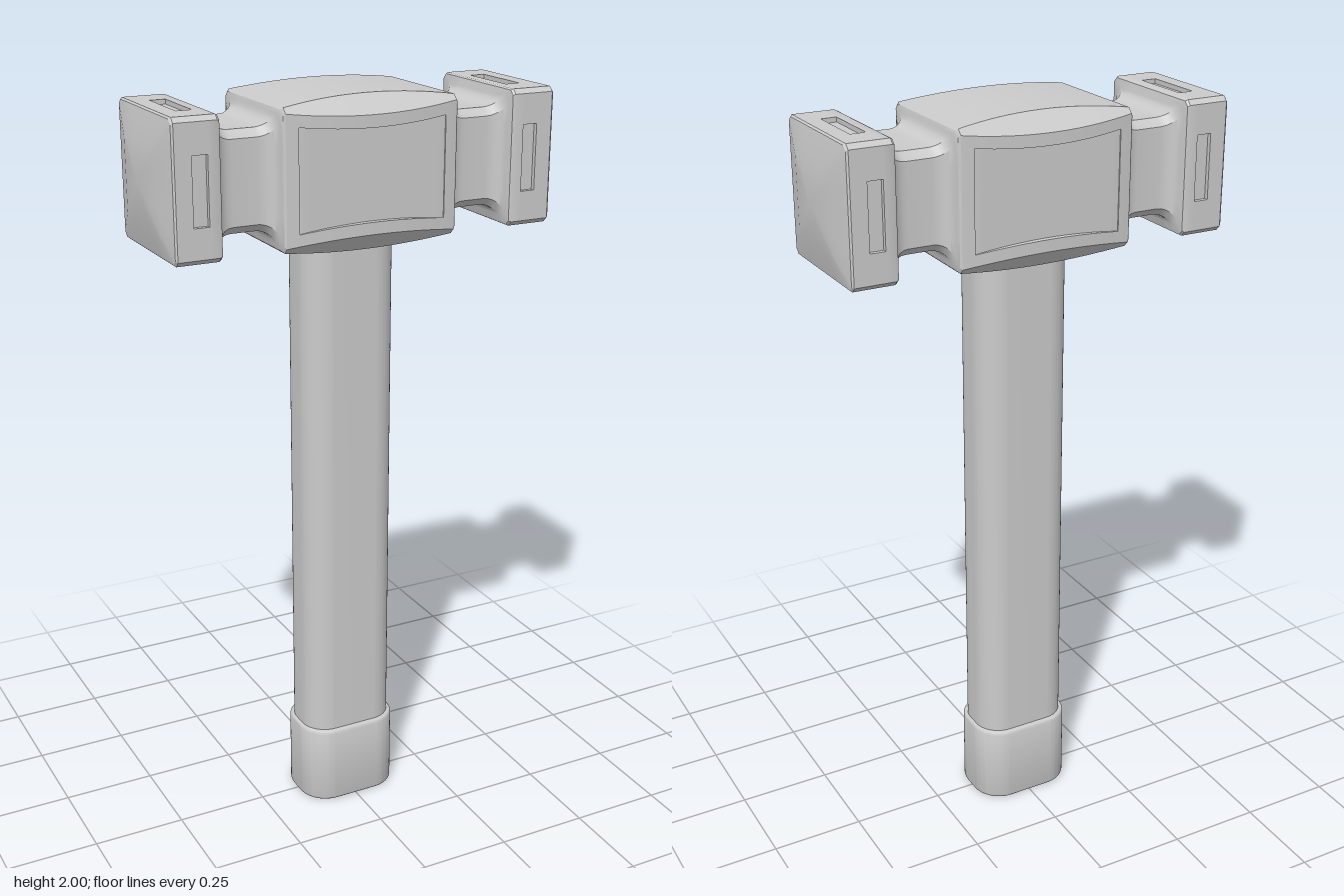
import * as THREE from 'three';
import { toCreasedNormals } from 'three/addons/utils/BufferGeometryUtils.js';

const material = new THREE.MeshStandardMaterial({ color: 0xcccccc });

// One chamfered-square section of the head, with an optional recess on each side.
function section({ x, h, c = 0.02, a = 0.085, dy = 0, dz = 0 }) {
  const points = [];
  const e = h - c;
  const m = Math.min(a, e * 0.95);
  for (let k = 0; k < 4; k++) {
    const d = k % 2 ? dz : dy;
    const side = [[h, -e], [h, -m], [h - d, -m], [h - d, m], [h, m], [h, e]];
    for (const [u, v] of side) {
      const [y, z] = [[u, v], [-v, u], [-u, -v], [v, -u]][k];
      points.push(new THREE.Vector3(x, y, z));
    }
  }
  return points;
}

// Skin a row of sections running along +x and close both ends with low points.
function loft(sections, tip) {
  const pos = [];
  const tri = (a, b, c) => {
    const n = b.clone().sub(a).cross(c.clone().sub(a));
    if (n.length() > 1e-9) for (const p of [a, b, c]) pos.push(p.x, p.y, p.z);
  };
  const n = sections[0].length;
  const first = new THREE.Vector3(-tip, 0, 0);
  const last = new THREE.Vector3(tip, 0, 0);
  for (let i = 0; i < n; i++) {
    const j = (i + 1) % n;
    for (let s = 0; s < sections.length - 1; s++) {
      const p = sections[s], q = sections[s + 1];
      tri(p[i], p[j], q[j]);
      tri(p[i], q[j], q[i]);
    }
    tri(first, sections[0][j], sections[0][i]);
    tri(last, sections[sections.length - 1][i], sections[sections.length - 1][j]);
  }
  const geo = new THREE.BufferGeometry();
  geo.setAttribute('position', new THREE.Float32BufferAttribute(pos, 3));
  return toCreasedNormals(geo, 0.5);
}

function headGeometry() {
  const half = [];
  // Bulging centre block with a flat panel sunk into front and back
  const centre = (x, sunk) => {
    const t = (x / 0.235) ** 2;
    const h = 0.174 + 0.018 * (1 - t);
    half.push({ x, h, c: 0.012 + 0.034 * (1 - t), a: 0.115 + 0.018 * t, dz: sunk ? h - 0.176 : 0 });
  };
  for (let i = 0; i <= 8; i++) centre(i * 0.025, true);
  for (const x of [0.2, 0.218, 0.232]) centre(x, false);
  half.push({ x: 0.237, h: 0.17, c: 0.014 });
  // Waist with a fillet at either end
  for (let i = 0; i <= 6; i++) {
    const t = (1 - i / 6) * Math.PI / 2;
    half.push({ x: 0.285 - 0.045 * Math.sin(t), h: 0.16 - 0.035 * Math.cos(t) });
  }
  for (let i = 0; i <= 6; i++) {
    const t = (i / 6) * Math.PI / 2;
    half.push({ x: 0.35 + 0.045 * Math.sin(t), h: 0.16 - 0.035 * Math.cos(t) });
  }
  // Striking block with a slot on each of its four sides and a crowned face
  const h = 0.174, c = 0.012, d = 0.012;
  half.push({ x: 0.398, h: 0.171, c }, { x: 0.404, h, c }, { x: 0.43, h, c });
  half.push({ x: 0.43, h, c, dy: d, dz: d }, { x: 0.47, h, c, dy: d, dz: d });
  half.push({ x: 0.47, h, c }, { x: 0.513, h, c }, { x: 0.518, h: 0.17, c });
  half.push({ x: 0.534, h: 0.1, c: 0.007, a: 0.05 });

  const mirrored = half.slice(1).reverse().map((s) => ({ ...s, x: -s.x }));
  return loft([...mirrored, ...half].map(section), 0.543);
}

// Upright bar with a rounded-rectangle plan.
function bar(w, d, r, y0, y1, bevel) {
  const x = w - bevel, z = d - bevel, k = r - bevel;
  const shape = new THREE.Shape();
  shape.absarc(x - k, z - k, k, 0, Math.PI / 2);
  shape.absarc(-x + k, z - k, k, Math.PI / 2, Math.PI);
  shape.absarc(-x + k, -z + k, k, Math.PI, Math.PI * 1.5);
  shape.absarc(x - k, -z + k, k, Math.PI * 1.5, Math.PI * 2);
  shape.closePath();
  const geo = new THREE.ExtrudeGeometry(shape, {
    depth: y1 - y0 - 2 * bevel, curveSegments: 10,
    bevelEnabled: bevel > 0, bevelSize: bevel, bevelThickness: bevel, bevelSegments: 3,
  });
  geo.rotateX(-Math.PI / 2).translate(0, y0 + bevel, 0);
  return toCreasedNormals(geo, 0.6);
}

export function createModel() {
  const group = new THREE.Group();
  const add = (name, geometry) => {
    const mesh = new THREE.Mesh(geometry, material);
    mesh.name = name;
    group.add(mesh);
    return mesh;
  };
  add('hammerHead', headGeometry()).position.y = 1.808;
  add('handle', bar(0.13, 0.089, 0.07, 0.1, 1.7, 0));
  add('pommel', bar(0.14, 0.103, 0.08, 0, 0.224, 0.008));
  return group;
}
